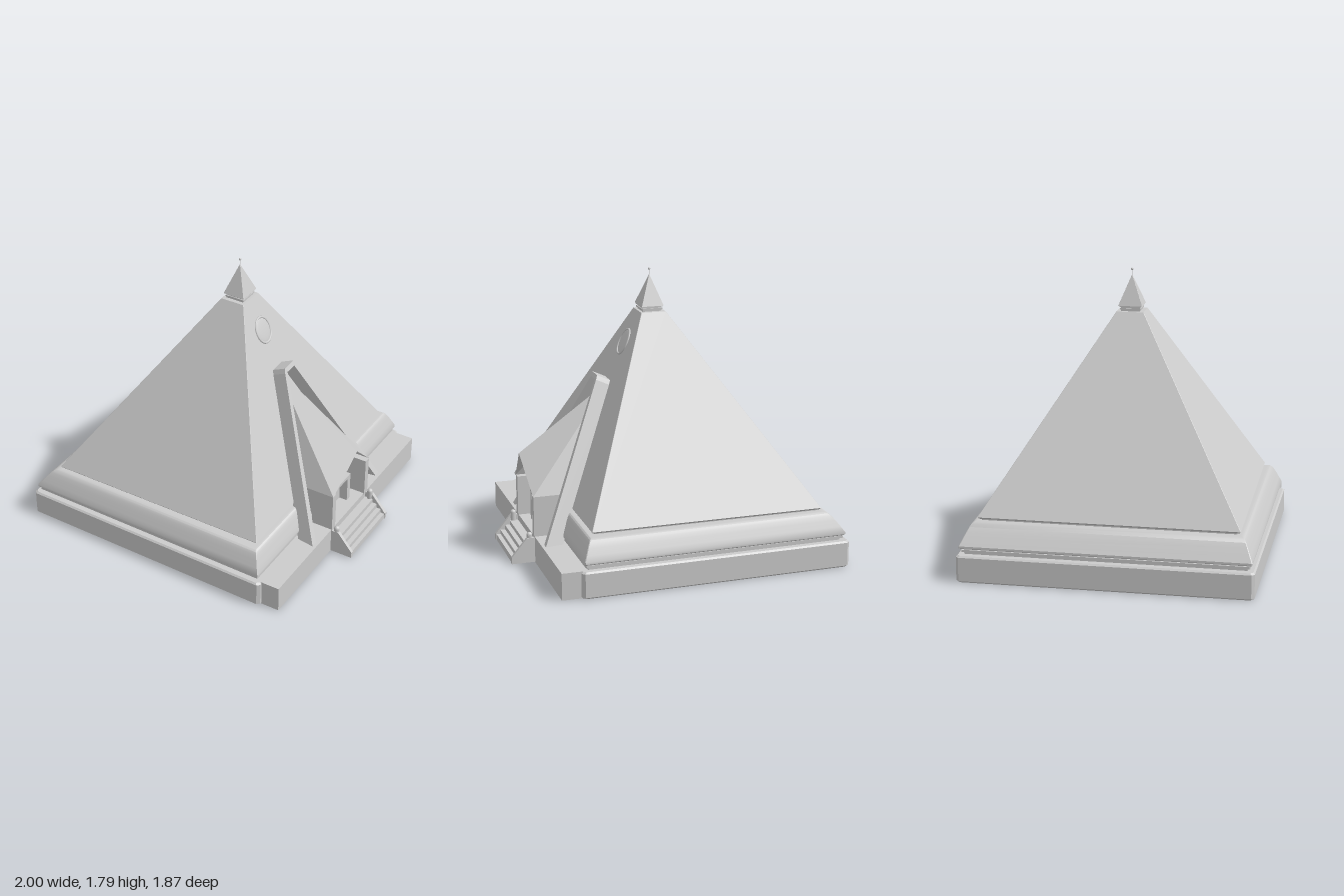
import * as THREE from 'three';
import { toCreasedNormals } from 'three/addons/utils/BufferGeometryUtils.js';

const grey = new THREE.MeshStandardMaterial({ color: 0xcccccc });
const greyThin = new THREE.MeshStandardMaterial({ color: 0xcccccc, side: THREE.DoubleSide });

export function createModel() {
  const model = new THREE.Group();

  const add = (name, geometry, material = grey) => {
    const mesh = new THREE.Mesh(geometry, material);
    mesh.name = name;
    model.add(mesh);
    return mesh;
  };
  const box = (name, x0, x1, y0, y1, z0, z1) =>
    add(name, new THREE.BoxGeometry(x1 - x0, y1 - y0, z1 - z0))
      .position.set((x0 + x1) / 2, (y0 + y1) / 2, (z0 + z1) / 2);

  // Stack of four-sided sections [y, xMin, xMax, half depth at xMin, half depth at xMax], corners cut by c
  const loft = (name, sections, c = 0.004) => {
    const pos = [], index = [], n = 8;
    for (const [y, a, b, ha, hb] of sections) {
      const ring = [[a + c, ha], [b - c, hb], [b, hb - c], [b, c - hb], [b - c, -hb], [a + c, -ha], [a, c - ha], [a, ha - c]];
      for (const [x, z] of ring) pos.push(x, y, z);
    }
    for (let s = 0; s < sections.length - 1; s++)
      for (let i = 0; i < n; i++) {
        const p = s * n + i, q = s * n + (i + 1) % n;
        index.push(p, q, q + n, p, q + n, p + n);
      }
    const top = (sections.length - 1) * n;
    for (let i = 1; i < n - 1; i++) index.push(0, i + 1, i, top, top + i, top + i + 1);
    const g = new THREE.BufferGeometry();
    g.setAttribute('position', new THREE.Float32BufferAttribute(pos, 3));
    g.setIndex(index);
    return add(name, toCreasedNormals(g, 0.5));
  };

  // Base slab with a recessed underside, and the entrance ledge
  loft('baseSlab', [
    [0.03, -0.9, 0.63, 0.81, 0.83], [0, -0.9, 0.63, 0.81, 0.83],
    [0, -0.99, 0.72, 0.9, 0.925], [0.01, -1, 0.73, 0.91, 0.937],
    [0.16, -1, 0.73, 0.91, 0.937], [0.17, -0.99, 0.72, 0.9, 0.927],
  ], 0.018);
  box('entranceLedge', 0.66, 0.85, 0, 0.17, -0.905, 0.905);

  // Plinth courses and the rounded band
  loft('lowerGroove', [[0.16, -0.95, 0.685, 0.865, 0.89], [0.2, -0.95, 0.685, 0.865, 0.89]]);
  loft('lowerFillet', [[0.185, -0.965, 0.7, 0.88, 0.905], [0.2, -0.965, 0.7, 0.88, 0.905]]);
  const bandProfile = [[0.205, 0.1], [0.212, 0], [0.225, 0], [0.26, 0.27], [0.3, 0.58], [0.325, 0.8], [0.34, 0.97], [0.348, 1.15], [0.35, 1.4]];
  loft('roundedBand', bandProfile.map(([y, t]) =>
    [y, -0.977 + 0.1 * t, 0.709 - 0.05 * t, 0.893 - 0.06 * t, 0.917 - 0.065 * t]));
  loft('upperGroove', [[0.34, -0.825, 0.615, 0.785, 0.785], [0.375, -0.825, 0.615, 0.785, 0.785]]);

  // Main pyramid
  loft('pyramid', [
    [0.36, -0.835, 0.627, 0.8, 0.8], [0.37, -0.843, 0.634, 0.808, 0.808],
    [1.52, -0.06, 0.1, 0.087, 0.087],
  ], 0.002);

  // Capstone on stepped collars, with a finial
  const cx = 0.022;
  [[1.515, 1.53, 0.06], [1.53, 1.54, 0.066], [1.54, 1.548, 0.06], [1.548, 1.56, 0.068]].forEach(([y0, y1, r]) =>
    box('capCollar', cx - r, cx + r, y0, y1, -r, r));
  loft('capstone', [[1.555, cx - 0.072, cx + 0.072, 0.077, 0.077], [1.745, cx - 0.001, cx + 0.001, 0.001, 0.001]], 0.0005);
  add('finialRod', new THREE.CylinderGeometry(0.0015, 0.0015, 0.045, 6)).position.set(cx, 1.758, 0);
  add('finialBall', new THREE.SphereGeometry(0.008, 12, 8)).position.set(cx, 1.782, 0);

  // Frame lying on the sloped entrance face: local x across, y up the slope, z outward
  const slope = new THREE.Group();
  slope.name = 'entranceFace';
  slope.quaternion.setFromRotationMatrix(new THREE.Matrix4().makeBasis(
    new THREE.Vector3(0, 0, -1), new THREE.Vector3(-0.421, 0.907, 0), new THREE.Vector3(0.907, 0.421, 0)));
  slope.position.set(0.727, 0.17, 0);
  model.add(slope);

  const half = [[0.448, -0.045], [0.07, 0.99], [0.055, 1.017]];
  const inner = [[0.042, 0.987], [0.404, -0.045]];
  const outline = [...half, ...half.map(([x, y]) => [-x, y]).reverse(),
    ...inner.map(([x, y]) => [-x, y]).reverse(), ...inner];
  const frameShape = new THREE.Shape(outline.map(([x, y]) => new THREE.Vector2(x, y)));
  const frame = add('slopedFrame', new THREE.ExtrudeGeometry(frameShape, { depth: 0.103, bevelEnabled: false }));
  frame.position.z = -0.01;
  slope.add(frame);

  // Oval window high on the entrance face
  const oval = new THREE.Group();
  oval.name = 'ovalWindow';
  oval.position.set(0, 1.273, 0);
  oval.scale.set(0.85, 1, 1);
  const ring = add('windowRing', new THREE.TorusGeometry(0.083, 0.008, 10, 48));
  const pane = add('windowPane', new THREE.SphereGeometry(0.08, 32, 16));
  pane.scale.z = 0.1;
  oval.add(ring, pane);
  slope.add(oval);

  // Porch roof: a folded gable running back into the pyramid
  const roof = new THREE.BufferGeometry();
  const A = [0.3, 1.07, 0], R = [0.885, 0.65, 0];
  const roofPoints = [1, -1].flatMap((s) => {
    const E = [0.855, 0.43, 0.24 * s], B = [0.59, 0.43, 0.24 * s];
    return s > 0 ? [A, E, R, A, B, E] : [A, R, E, A, E, B];
  });
  roof.setAttribute('position', new THREE.Float32BufferAttribute(roofPoints.flat(), 3));
  roof.computeVertexNormals();
  add('porchRoof', roof, greyThin);

  // Porch walls, doorway and the panel above it
  for (const s of [1, -1]) {
    const z = (a, b) => (s > 0 ? [a, b] : [-b, -a]);
    box('porchWall', 0.56, 0.853, 0.16, 0.43, ...z(0.197, 0.24));
    box('doorJamb', 0.6, 0.79, 0.16, 0.36, ...z(0.075, 0.112));
  }
  box('doorLintel', 0.6, 0.79, 0.345, 0.365, -0.112, 0.112);
  box('door', 0.6, 0.735, 0.16, 0.35, -0.08, 0.08);
  loft('panelOverDoor', [[0.36, 0.55, 0.76, 0.112, 0.112], [0.6, 0.5, 0.76, 0.07, 0.07], [0.725, 0.45, 0.755, 0.01, 0.01]]);

  // Entrance steps
  [[0.128, 0.905], [0.1, 0.937], [0.07, 0.968], [0.042, 0.995]].forEach(([top, x]) =>
    box('step', 0.84, x, 0.004, top, -0.222, 0.222));

  // Stair cheeks with round-topped posts
  const cheek = new THREE.Shape([[0.84, 0.004], [1, 0.004], [1, 0.045], [0.9, 0.165], [0.84, 0.165]]
    .map(([x, y]) => new THREE.Vector2(x, y)));
  for (const s of [1, -1]) {
    add('stairCheek', new THREE.ExtrudeGeometry(cheek, { depth: 0.022, bevelEnabled: false }))
      .position.z = s > 0 ? 0.221 : -0.243;
    add('stairPost', new THREE.CylinderGeometry(0.018, 0.018, 0.18, 16)).position.set(0.881, 0.094, 0.225 * s);
    add('stairPostCap', new THREE.SphereGeometry(0.018, 16, 10)).position.set(0.881, 0.182, 0.225 * s);
  }

  return model;
}
